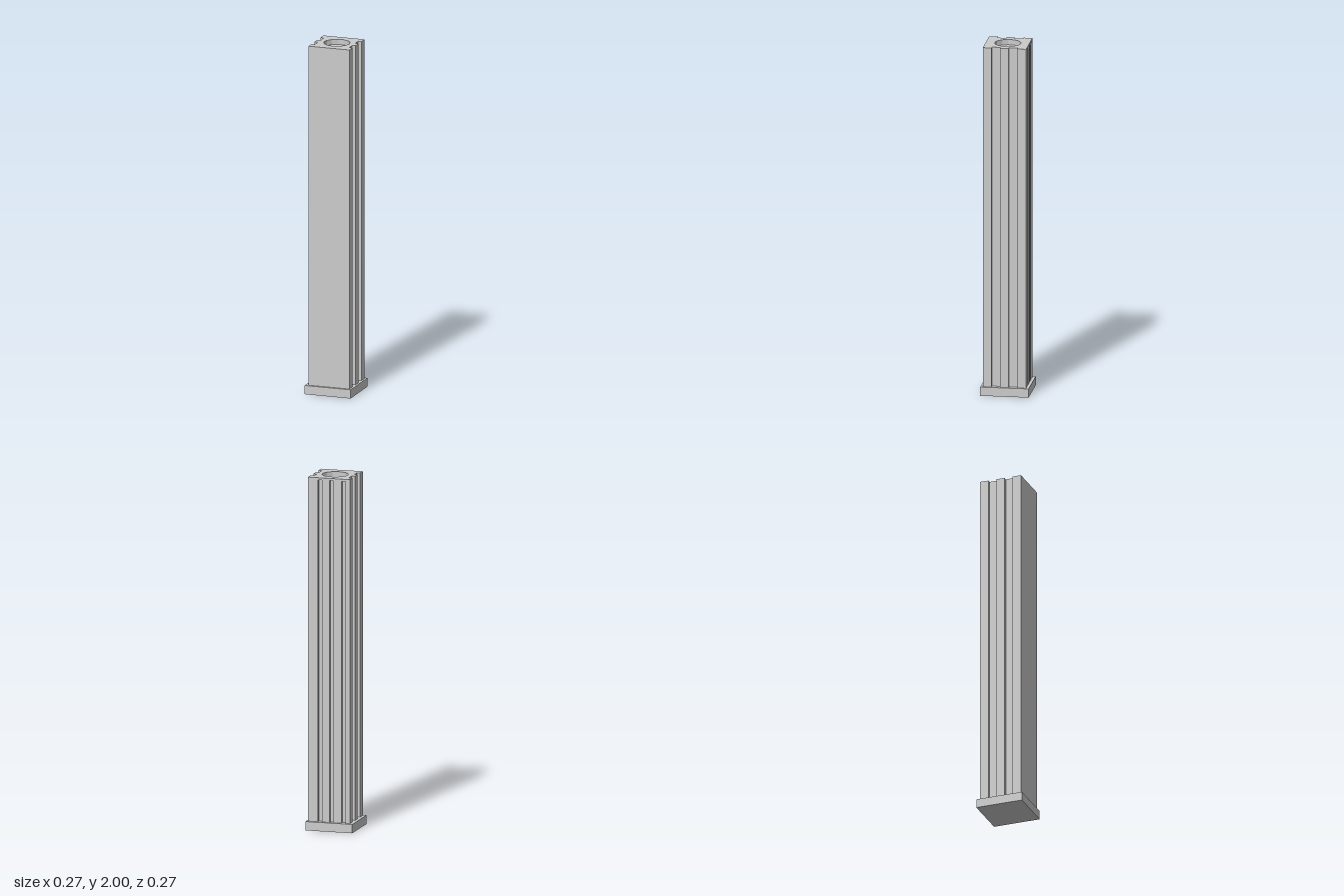
import * as THREE from 'three';

const BASE = 0.272, BASE_H = 0.05;
const X0 = -0.118, X1 = 0.125, Z0 = -0.12, Z1 = 0.123; // shaft footprint
const DEPTH = 0.02;                                    // flute depth
const sideFlutes = [[-0.071, -0.022], [0.025, 0.074]]; // z ranges
const backFlutes = [[-0.093, -0.069], [-0.023, 0.001], [0.045, 0.069]]; // x ranges
const HOLE_FLOOR = 1.97, CAP = 1.988, TOP = 2;

// Shaft cross-section drawn with shape y = -z, counter-clockwise
function section(backGrooves, hole) {
  const pts = [[X0, Z1], [X1, Z1]];
  for (const [a, b] of [...sideFlutes].reverse())
    pts.push([X1, b], [X1 - DEPTH, b], [X1 - DEPTH, a], [X1, a]);
  pts.push([X1, Z0]);
  if (backGrooves)
    for (const [a, b] of [...backFlutes].reverse())
      pts.push([b, Z0], [b, Z0 + DEPTH], [a, Z0 + DEPTH], [a, Z0]);
  pts.push([X0, Z0]);
  for (const [a, b] of sideFlutes)
    pts.push([X0, a], [X0 + DEPTH, a], [X0 + DEPTH, b], [X0, b]);
  const shape = new THREE.Shape(pts.map(([x, z]) => new THREE.Vector2(x, -z)));
  if (hole) {
    // Thirteen-sided socket with one corner toward the front
    const ring = [];
    for (let i = 0; i < 13; i++) {
      const t = -i / 13 * Math.PI * 2;
      ring.push(new THREE.Vector2(0.005 + 0.074 * Math.sin(t), -0.074 * Math.cos(t)));
    }
    shape.holes.push(new THREE.Path(ring));
  }
  return shape;
}

export function createModel() {
  const group = new THREE.Group();
  const material = new THREE.MeshStandardMaterial({ color: 0xcccccc, flatShading: true });
  const add = (name, geometry) => {
    const mesh = new THREE.Mesh(geometry, material);
    mesh.name = name;
    group.add(mesh);
  };
  const layer = (name, shape, y0, y1) => add(name,
    new THREE.ExtrudeGeometry(shape, { depth: y1 - y0, bevelEnabled: false })
      .rotateX(-Math.PI / 2).translate(0, y0, 0));

  // Square plinth
  add('base', new THREE.BoxGeometry(BASE, BASE_H, BASE).translate(0, BASE_H / 2, 0));
  // Fluted shaft, socket rim, and thin cap that closes the back flutes
  layer('shaft', section(true, false), BASE_H, HOLE_FLOOR);
  layer('socketWall', section(true, true), HOLE_FLOOR, CAP);
  layer('cap', section(false, true), CAP, TOP);
  return group;
}
